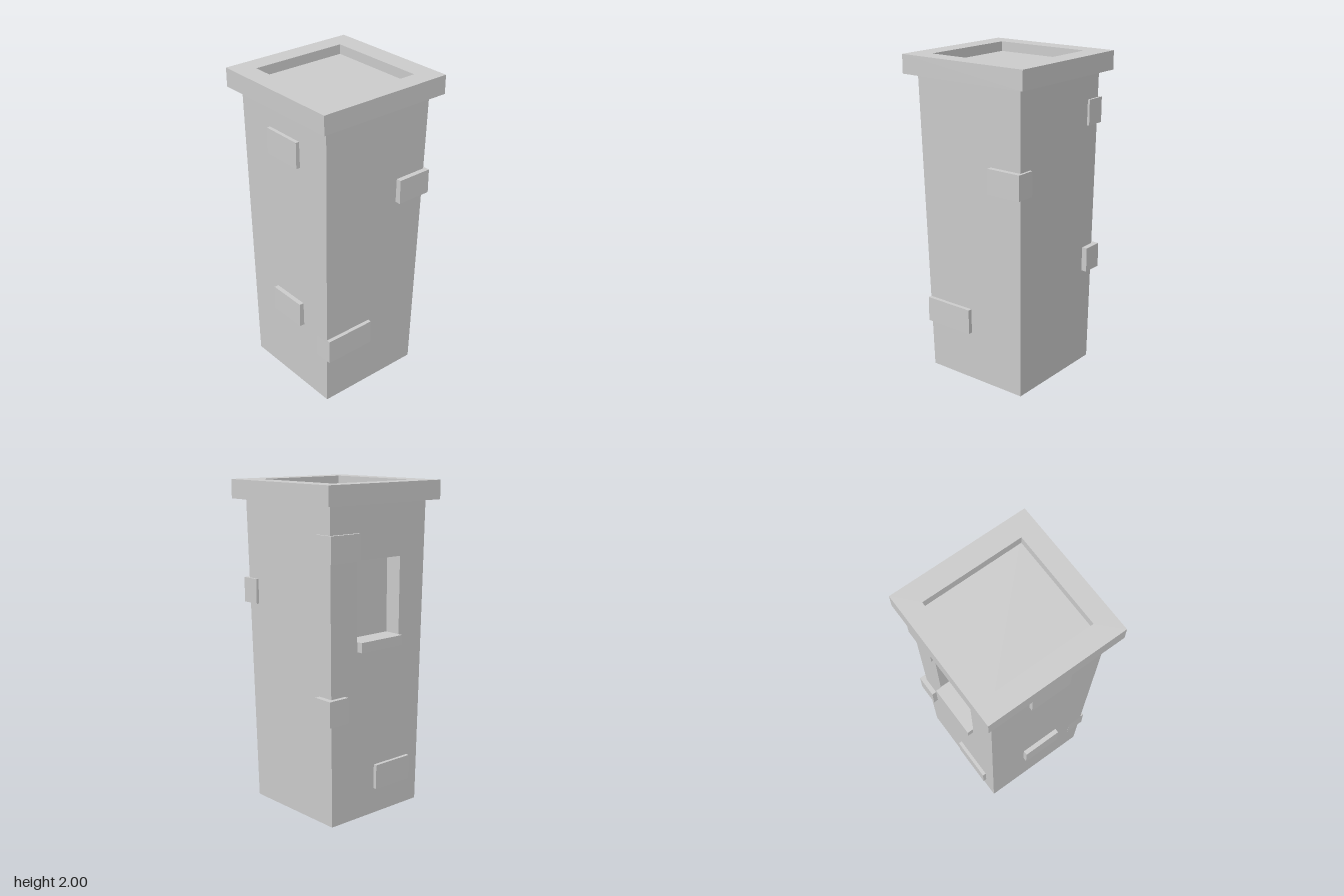
import * as THREE from 'three';

const material = new THREE.MeshStandardMaterial({ color: 0xcccccc, flatShading: true });
const lerp = THREE.MathUtils.lerp;

function addMesh(group, geometry, name) {
  const mesh = new THREE.Mesh(geometry, material);
  mesh.name = name;
  group.add(mesh);
}

// box given by its limits on each axis
function addBlock(group, name, [x0, x1], [y0, y1], [z0, z1]) {
  const geometry = new THREE.BoxGeometry(x1 - x0, y1 - y0, z1 - z0);
  geometry.translate((x0 + x1) / 2, (y0 + y1) / 2, (z0 + z1) / 2);
  addMesh(group, geometry, name);
}

// tapered shaft with a window niche in its -x face
function shaftGeometry() {
  const H = 1.94;
  const positions = [];
  const quad = (a, b, c, d) => positions.push(...a, ...b, ...c, ...a, ...c, ...d);
  const leftX = (y) => lerp(-0.371, -0.384, y / H);
  const ring = (y) => {
    const t = y / H;
    const x0 = leftX(y), x1 = lerp(0.334, 0.38, t);
    const z0 = lerp(-0.355, -0.381, t), z1 = lerp(0.344, 0.378, t);
    return [[x0, y, z1], [x1, y, z1], [x1, y, z0], [x0, y, z0]];
  };
  const low = ring(0), high = ring(H);

  // front, +x and back walls, top and bottom
  for (let i = 0; i < 3; i++) quad(low[i], low[i + 1], high[i + 1], high[i]);
  quad(...high);
  quad(...[...low].reverse());

  // -x wall around the opening, then the niche sides and back
  const outer = [low[3], low[0], high[0], high[3]];
  const opening = [[1.09, -0.17], [1.09, 0.17], [1.565, 0.17], [1.565, -0.17]];
  const rim = opening.map(([y, z]) => [leftX(y), y, z]);
  const back = opening.map(([y, z]) => [-0.275, y, z]);
  for (let i = 0; i < 4; i++) {
    const j = (i + 1) % 4;
    quad(outer[i], outer[j], rim[j], rim[i]);
    quad(rim[i], rim[j], back[j], back[i]);
  }
  quad(...back);

  const geometry = new THREE.BufferGeometry();
  geometry.setAttribute('position', new THREE.Float32BufferAttribute(positions, 3));
  geometry.computeVertexNormals();
  return geometry;
}

// square cap with an open centre; the shaft top forms its floor
function capGeometry() {
  const rect = (path, x0, x1, y0, y1) =>
    path.moveTo(x0, y0).lineTo(x1, y0).lineTo(x1, y1).lineTo(x0, y1).closePath();
  const shape = new THREE.Shape();
  const hole = new THREE.Path();
  rect(shape, -0.443, 0.44, -0.44, 0.442);
  rect(hole, -0.323, 0.32, -0.314, 0.31);
  shape.holes.push(hole);
  const geometry = new THREE.ExtrudeGeometry(shape, { depth: 0.115, bevelEnabled: false });
  geometry.rotateX(-Math.PI / 2);
  geometry.translate(0, 1.885, 0);
  return geometry;
}

export function createModel() {
  const group = new THREE.Group();
  group.name = 'tower';
  addMesh(group, shaftGeometry(), 'shaft');
  addMesh(group, capGeometry(), 'cap');

  addBlock(group, 'windowSill', [-0.415, -0.28], [1.035, 1.095], [-0.165, 0.165]);

  // protruding bricks: x, y and z limits
  const bricks = [
    ['upperFrontBrick', [-0.125, 0.14], [1.565, 1.725], [0.3, 0.397]],
    ['lowerFrontBrick', [-0.13, 0.125], [0.47, 0.63], [0.3, 0.384]],
    ['upperLeftCornerBrick', [0.28, 0.4], [1.255, 1.407], [-0.39, -0.16]],
    ['lowerLeftBrick', [0.25, 0.37], [0.315, 0.473], [0.02, 0.352]],
    ['upperRightCornerBrick', [-0.405, -0.276], [1.566, 1.722], [-0.392, -0.167]],
    ['middleRightCornerBrick', [-0.405, -0.275], [0.63, 0.785], [-0.4, -0.26]],
    ['lowerRightBrick', [-0.395, -0.3], [0.16, 0.312], [-0.02, 0.26]],
  ];
  for (const [name, x, y, z] of bricks) addBlock(group, name, x, y, z);
  return group;
}
